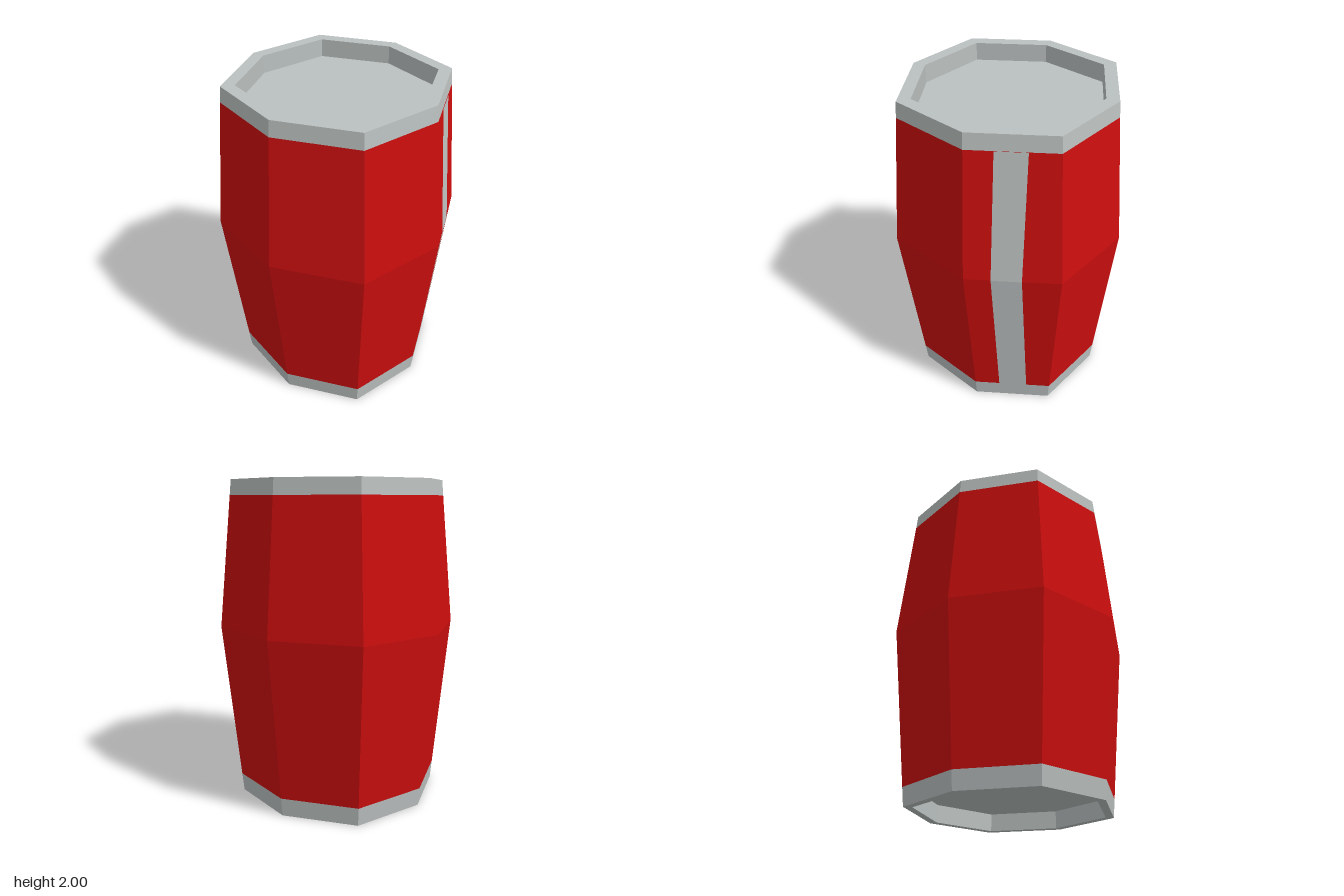
import * as THREE from 'three';

const BULGE_Y = 1.1, BULGE_R = 0.708, BOTTOM_R = 0.6, TOP_R = 0.627;
const BAND_LOW = 0.113, BAND_HIGH = 1.905, RECESS_R = 0.55, RECESS = 0.11;
const DIAGONAL = 0.75 * Math.SQRT2; // diagonal corners sit slightly further out

// Outer radius of the barrel at a given height
function radiusAt(y) {
  return y < BULGE_Y
    ? THREE.MathUtils.lerp(BOTTOM_R, BULGE_R, y / BULGE_Y)
    : THREE.MathUtils.lerp(BULGE_R, TOP_R, (y - BULGE_Y) / (2 - BULGE_Y));
}

// Eight-sided faceted ring swept from a [radius, y] profile
function octagonal(name, profile, material) {
  const lathe = new THREE.LatheGeometry(profile.map(([r, y]) => new THREE.Vector2(r, y)), 8);
  const p = lathe.attributes.position;
  for (let i = 0; i < p.count; i++) {
    const side = Math.floor(i / profile.length);
    if (side % 2) p.setXYZ(i, p.getX(i) * DIAGONAL, p.getY(i), p.getZ(i) * DIAGONAL);
  }
  const geometry = lathe.toNonIndexed();
  geometry.computeVertexNormals();
  const mesh = new THREE.Mesh(geometry, material);
  mesh.name = name;
  return mesh;
}

// Thin stripe lying on the facet just behind the left-hand corner
function stripeGeometry(zFront, zBack) {
  const geometry = new THREE.PlaneGeometry(1, 1, 1, 2);
  const p = geometry.attributes.position;
  const heights = [BAND_HIGH, BULGE_Y, BAND_LOW];
  for (let i = 0; i < p.count; i++) {
    const y = heights[Math.floor(i / 2)];
    const z = i % 2 ? zBack : zFront;
    p.setXYZ(i, radiusAt(y) + z / 3 + 0.003, y, z);
  }
  const flat = geometry.toNonIndexed();
  flat.computeVertexNormals();
  return flat;
}

export function createModel() {
  const red = new THREE.MeshStandardMaterial({ color: 0xcc0e0e });
  red.name = 'red paint';
  const grey = new THREE.MeshStandardMaterial({ color: 0xbbc1c0 });
  grey.name = 'light grey metal';

  const barrel = new THREE.Group();
  barrel.name = 'barrel';

  // Bottom rim with its recessed base
  barrel.add(octagonal('bottomRim', [
    [0, RECESS], [RECESS_R, RECESS], [RECESS_R, 0], [BOTTOM_R, 0], [radiusAt(BAND_LOW), BAND_LOW],
  ], grey));

  // Bulging painted body
  barrel.add(octagonal('body', [BAND_LOW, BULGE_Y, BAND_HIGH].map((y) => [radiusAt(y), y]), red));

  // Top rim with its recessed lid
  barrel.add(octagonal('topRim', [
    [radiusAt(BAND_HIGH), BAND_HIGH], [TOP_R, 2], [RECESS_R, 2], [RECESS_R, 2 - RECESS], [0, 2 - RECESS],
  ], grey));

  // Vertical stripe joining the rims
  const stripe = new THREE.Mesh(stripeGeometry(-0.15, -0.318), grey);
  stripe.name = 'stripe';
  barrel.add(stripe);

  return barrel;
}
